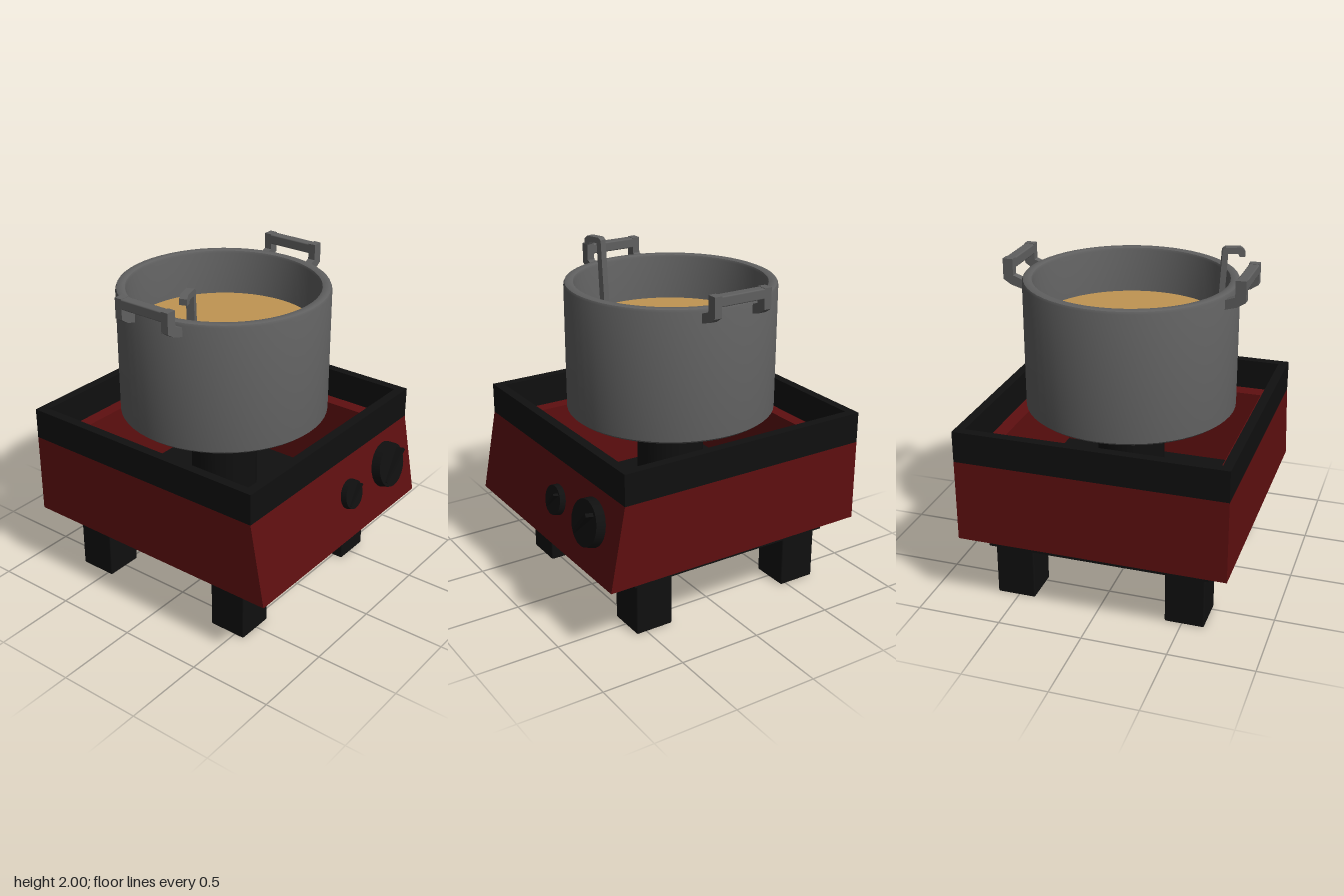
import * as THREE from 'three';
import { toCreasedNormals } from 'three/addons/utils/BufferGeometryUtils.js';
import { RoundedBoxGeometry } from 'three/addons/geometries/RoundedBoxGeometry.js';

const material = (name, color) => {
  const m = new THREE.MeshStandardMaterial({ color });
  m.name = name;
  return m;
};

// Straight-sided extrusion of an outline, centred on its depth
function slab(points, depth) {
  const shape = new THREE.Shape(points.map(([x, y]) => new THREE.Vector2(x, y)));
  return new THREE.ExtrudeGeometry(shape, { depth, bevelEnabled: false }).translate(0, 0, -depth / 2);
}

export function createModel() {
  const black = material('black enamel', 0x101010);
  const red = material('dark red enamel', 0x5e0f10);
  const steel = material('grey metal', 0x606060);
  const broth = material('golden broth', 0xc09552);
  const model = new THREE.Group();
  model.name = 'cookerWithPot';

  const add = (name, geometry, mat, parent = model) => {
    const mesh = new THREE.Mesh(geometry, mat);
    mesh.name = name;
    parent.add(mesh);
    return mesh;
  };
  // Box given by its lower and upper limits
  const block = (name, mat, [x0, x1], [y0, y1], [z0, z1]) =>
    add(name, new THREE.BoxGeometry(x1 - x0, y1 - y0, z1 - z0), mat)
      .position.set((x0 + x1) / 2, (y0 + y1) / 2, (z0 + z1) / 2);

  // Legs and base plate
  for (const x of [-0.515, 0.515]) {
    for (const z of [-0.58, 0.447]) {
      add('leg', new RoundedBoxGeometry(0.233, 0.33, 0.233, 1, 0.008), black).position.set(x, 0.165, z);
    }
  }
  block('basePlate', black, [-0.66, 0.66], [0.325, 0.427], [-0.725, 0.595]);

  // Hollow housing: sloping front wall, back wall and two sides
  const bottom = 0.425, top = 0.915;
  const frontWall = slab([[0.575, bottom], [0.82, bottom], [0.728, top], [0.575, top]], 1.58);
  add('housingFront', frontWall.rotateY(-Math.PI / 2), red);
  block('housingBack', red, [-0.79, 0.79], [bottom, top], [-0.855, -0.72]);
  block('housingSide', red, [-0.79, -0.65], [bottom, top], [-0.72, 0.575]);
  block('housingSide', red, [0.65, 0.79], [bottom, top], [-0.72, 0.575]);

  // Raised rim around the top
  block('rimFront', black, [-0.79, 0.79], [top, 1.1], [0.672, 0.728]);
  block('rimBack', black, [-0.79, 0.79], [top, 1.1], [-0.855, -0.8]);
  block('rimSide', black, [-0.79, -0.735], [top, 1.1], [-0.8, 0.672]);
  block('rimSide', black, [0.735, 0.79], [top, 1.1], [-0.8, 0.672]);

  // Burner under the pot
  add('burner', new THREE.CylinderGeometry(0.2, 0.2, 0.64, 32), black).position.set(0, 0.745, -0.066);

  // Control knobs with a wedge-shaped grip, lying on the sloping front
  const slope = Math.atan2(0.092, 0.49);
  for (const [x, y, radius] of [[0.505, 0.715, 0.14], [0.115, 0.692, 0.09]]) {
    const knob = new THREE.Group();
    knob.name = 'knob';
    const disc = new THREE.CylinderGeometry(0.134, 0.14, 0.055, 24).rotateX(Math.PI / 2);
    add('knobDisc', disc, black, knob).position.z = 0.0275;
    const grip = slab([[-0.115, 0], [0.115, 0], [0.115, 0.05], [-0.115, 0.008]], 0.022);
    grip.rotateX(Math.PI / 2).rotateZ(Math.PI / 4).translate(0, 0, 0.054);
    add('knobGrip', grip, black, knob);
    knob.scale.setScalar(radius / 0.14);
    knob.position.set(x, y, 0.728 + (top - y) * 0.188);
    knob.rotation.x = -slope;
    model.add(knob);
  }

  // Pot, open at the top with a rounded lip
  const pot = new THREE.Group();
  pot.name = 'pot';
  pot.position.z = -0.066;
  model.add(pot);
  const profile = [
    [0, 1.06], [0.6, 1.06], [0.618, 1.075], [0.618, 1.82], [0.612, 1.833], [0.6, 1.838],
    [0.575, 1.838], [0.563, 1.833], [0.557, 1.82], [0.557, 1.1], [0, 1.1],
  ].map(([x, y]) => new THREE.Vector2(x, y));
  add('potBody', toCreasedNormals(new THREE.LatheGeometry(profile, 56), 0.6), steel, pot);
  add('broth', new THREE.CylinderGeometry(0.557, 0.557, 0.02, 56), broth, pot).position.y = 1.55;

  // Side handles: two bent arms and a bar
  for (const side of [1, -1]) {
    const handle = new THREE.Group();
    handle.name = side > 0 ? 'leftHandle' : 'rightHandle';
    for (const z of [-0.162, 0.162]) {
      const arm = slab([[0.59, 1.755], [0.66, 1.775], [0.705, 1.805], [0.705, 1.925],
        [0.645, 1.925], [0.645, 1.83], [0.59, 1.81]], 0.046);
      add('handleArm', arm, steel, handle).position.z = z;
    }
    const bar = new RoundedBoxGeometry(0.06, 0.06, 0.37, 1, 0.008);
    add('handleBar', bar, steel, handle).position.set(0.675, 1.893, 0);
    handle.rotation.y = side > 0 ? 0 : Math.PI;
    pot.add(handle);
  }

  // Ladle shaft standing in the broth, hooked at its upper end
  const shaft = slab([[0, 1.945], [0, 1.98], [0.022, 2], [0.11, 2], [0.128, 1.985], [0.155, 1.5],
    [0.12, 1.5], [0.096, 1.965], [0.04, 1.965], [0.03, 1.945]], 0.045);
  const ladle = add('ladle', shaft, steel);
  ladle.position.set(-0.605, 0, 0.142);
  ladle.rotation.y = 0.33;

  // Handles sit slightly behind the ladle, level with the pot centre
  return model;
}
